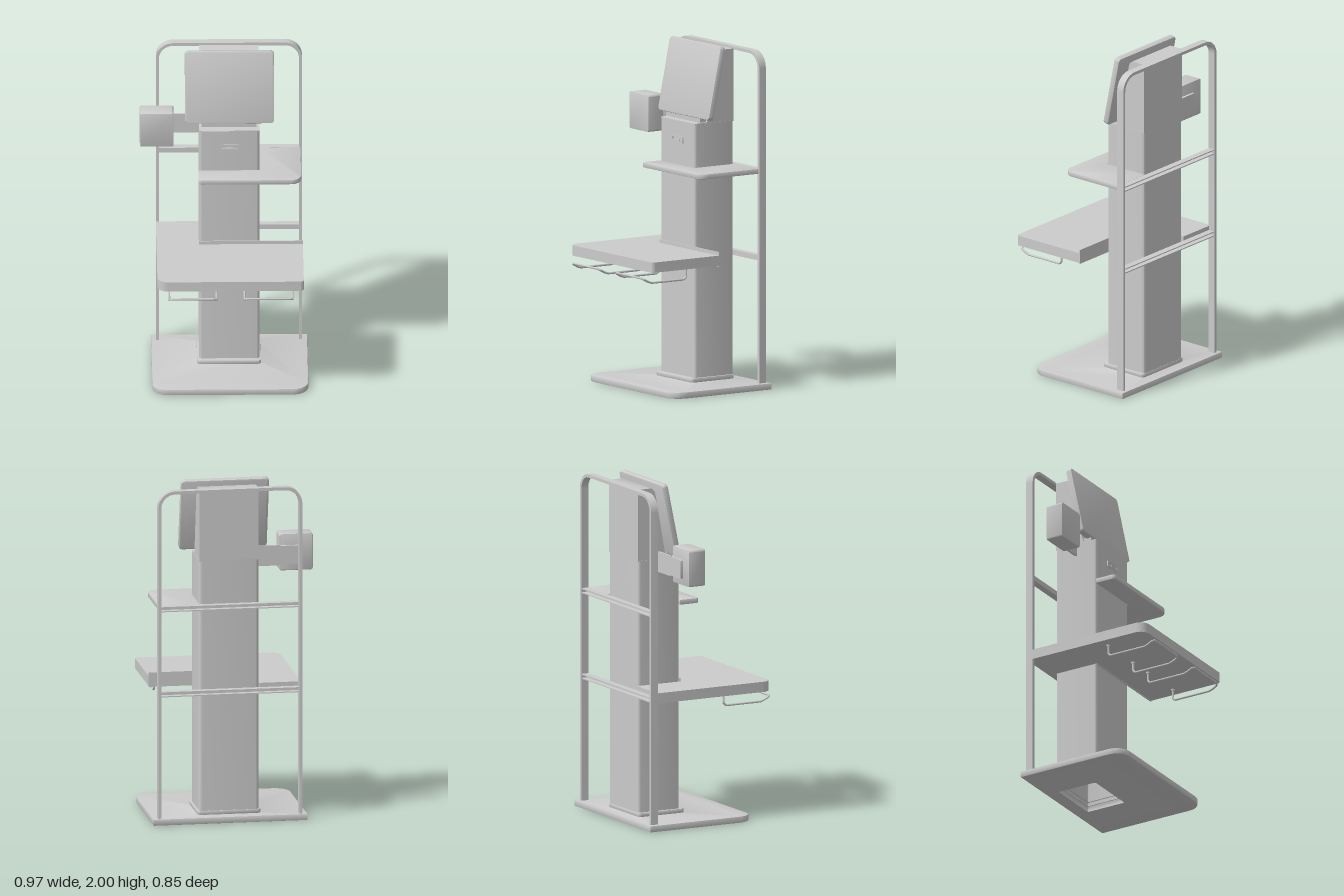
import * as THREE from 'three';
import { toCreasedNormals } from 'three/addons/utils/BufferGeometryUtils.js';

const material = new THREE.MeshStandardMaterial({ color: 0xcccccc, side: THREE.DoubleSide });

// Closed outline from [x, y, cornerRadius] points
function outline(points, target = new THREE.Shape()) {
  const n = points.length;
  const k = 0.5523;
  points.forEach(([x, y, r = 0], i) => {
    const p = new THREE.Vector2(x, y);
    const toward = (q) => new THREE.Vector2(q[0] - x, q[1] - y).normalize();
    const a = toward(points[(i + n - 1) % n]);
    const b = toward(points[(i + 1) % n]);
    const at = (d, s) => p.clone().addScaledVector(d, s);
    const start = at(a, r);
    if (i === 0) target.moveTo(start.x, start.y);
    else target.lineTo(start.x, start.y);
    if (r > 0) {
      const c1 = at(a, r * (1 - k)), c2 = at(b, r * (1 - k)), end = at(b, r);
      target.bezierCurveTo(c1.x, c1.y, c2.x, c2.y, end.x, end.y);
    }
  });
  target.closePath();
  return target;
}

function extrude(shape, depth, bevel = 0) {
  return toCreasedNormals(new THREE.ExtrudeGeometry(shape, {
    depth: depth - 2 * bevel, curveSegments: 8, bevelEnabled: bevel > 0,
    bevelSize: bevel, bevelThickness: bevel, bevelOffset: -bevel, bevelSegments: 2,
  }).translate(0, 0, bevel), 0.6);
}

// Horizontal slab from [x, z, radius] points between two heights
function slab(points, y0, y1, { hole, bevel = 0 } = {}) {
  const flip = (list) => list.map(([x, z, r]) => [x, -z, r]);
  const shape = outline(flip(points));
  if (hole) shape.holes.push(outline(flip(hole), new THREE.Path()));
  return extrude(shape, y1 - y0, bevel).rotateX(-Math.PI / 2).translate(0, y0, 0);
}

// Section given as [z, y, radius], swept along x
function sweepX(points, x0, x1) {
  return extrude(outline(points), x1 - x0).rotateY(-Math.PI / 2).translate(x1, 0, 0);
}

const rect = (x0, x1, z0, z1, r = 0) => [[x0, z0, r], [x1, z0, r], [x1, z1, r], [x0, z1, r]];

function block(x0, x1, y0, y1, z0, z1) {
  return new THREE.BoxGeometry(x1 - x0, y1 - y0, z1 - z0)
    .translate((x0 + x1) / 2, (y0 + y1) / 2, (z0 + z1) / 2);
}

export function createModel() {
  const model = new THREE.Group();
  model.name = 'kioskStand';
  const add = (name, geometry) => {
    const mesh = new THREE.Mesh(geometry, material);
    mesh.name = name;
    model.add(mesh);
    return mesh;
  };

  // Floor plate, open under the column
  const bore = rect(-0.135, 0.195, -0.345, -0.09, 0.012);
  add('basePlate', slab(
    [[-0.417, -0.425], [0.485, -0.425], [0.485, 0.26, 0.09], [-0.417, 0.26, 0.09]],
    0, 0.037, { hole: bore, bevel: 0.004 }));
  add('columnCollar', slab(rect(-0.155, 0.215, -0.355, -0.052, 0.02), 0.037, 0.062, { hole: bore, bevel: 0.004 }));

  // Hollow column and its sloping head
  add('column', slab(rect(-0.143, 0.205, -0.353, -0.08, 0.015), 0.037, 1.545, { hole: bore }));
  add('columnHead', sweepX([
    [-0.353, 1.54], [-0.082, 1.54], [-0.082, 1.547], [-0.17, 1.55, 0.01],
    [-0.242, 1.95, 0.02], [-0.265, 1.965], [-0.353, 1.965],
  ], -0.141, 0.203));
  add('screenFoot', block(-0.13, 0.19, 1.545, 1.575, -0.178, -0.125));

  // Card slot on the column front
  const slot = outline(rect(-0.022, 0.088, 1.418, 1.457, 0.004));
  slot.holes.push(outline(rect(-0.012, 0.078, 1.436, 1.45), new THREE.Path()));
  add('cardSlotFrame', extrude(slot, 0.006).translate(0, 0, -0.081));
  add('cardSlotTongue', block(0.01, 0.056, 1.428, 1.438, -0.08, -0.072));

  // Tilted display with softened rim
  const screen = add('screen', extrude(
    outline(rect(-0.258, 0.258, -0.217, 0.217, 0.022)), 0.037, 0.006).translate(0, 0, -0.0185));
  screen.position.set(0.033, 1.784, -0.178);
  screen.rotation.x = -0.205;

  // Rear hoop of flat bar
  const hoop = outline([
    [-0.39, 0.035], [-0.372, 0.035], [-0.372, 1.957, 0.082], [0.437, 1.957, 0.082],
    [0.437, 0.035], [0.455, 0.035], [0.455, 1.975, 0.1], [-0.39, 1.975, 0.1],
  ]);
  add('rearHoop', extrude(hoop, 0.046).translate(0, 0, -0.406));

  // Channel rails across the hoop, open to the rear
  for (const [name, y] of [['lowerRail', 0.755], ['upperRail', 1.26]]) {
    add(name, sweepX([
      [-0.402, y], [-0.362, y], [-0.362, y + 0.03], [-0.402, y + 0.03],
      [-0.402, y + 0.024], [-0.37, y + 0.024], [-0.37, y + 0.006], [-0.402, y + 0.006],
    ], -0.373, 0.438));
  }

  // Upper shelf wraps the left side of the column
  add('upperShelf', slab([
    [0.205, -0.362], [0.446, -0.362], [0.446, 0.047, 0.06], [-0.148, 0.047, 0.018],
    [-0.148, -0.08], [0.205, -0.08],
  ], 1.262, 1.291, { bevel: 0.003 }));

  // Work table wraps the right side of the column
  add('table', slab([
    [-0.39, -0.362], [-0.145, -0.362], [-0.145, -0.078], [0.456, -0.078],
    [0.456, 0.395, 0.018], [-0.39, 0.395, 0.06],
  ], 0.75, 0.81));
  add('tableBackLip', block(-0.143, 0.456, 0.745, 0.83, -0.08, -0.074));

  // Wire bag hooks under the table
  for (const [name, a, b] of [['rightBagHook', -0.322, -0.048], ['leftBagHook', 0.115, 0.391]]) {
    const side = (x, s) => [
      [x, 0.752, 0.112], [x, 0.695, 0.112], [x, 0.681, 0.126], [x, 0.681, 0.355],
      [x, 0.689, 0.38], [x, 0.704, 0.408], [x + s * 0.015, 0.711, 0.418],
    ];
    const points = [...side(a, 1), ...side(b, -1).reverse()].map((p) => new THREE.Vector3(...p));
    const path = new THREE.CurvePath();
    points.slice(1).forEach((p, i) => path.add(new THREE.LineCurve3(points[i], p)));
    add(name, new THREE.TubeGeometry(path, 140, 0.0065, 8));
    for (const x of [a, b]) {
      add(name + 'Mount', new THREE.CylinderGeometry(0.012, 0.012, 0.01, 12).translate(x, 0.746, 0.112));
    }
  }

  // Side device on a bracket
  add('deviceArm', block(-0.29, -0.143, 1.47, 1.59, -0.224, -0.212));
  add('deviceBackPlate', extrude(outline(rect(-0.415, -0.28, 1.475, 1.585, 0.008)), 0.018).translate(0, 0, -0.224));
  add('deviceBox', extrude(outline(rect(-0.486, -0.29, 1.435, 1.651, 0.012)), 0.108, 0.004).translate(0, 0, -0.208));

  return model;
}
